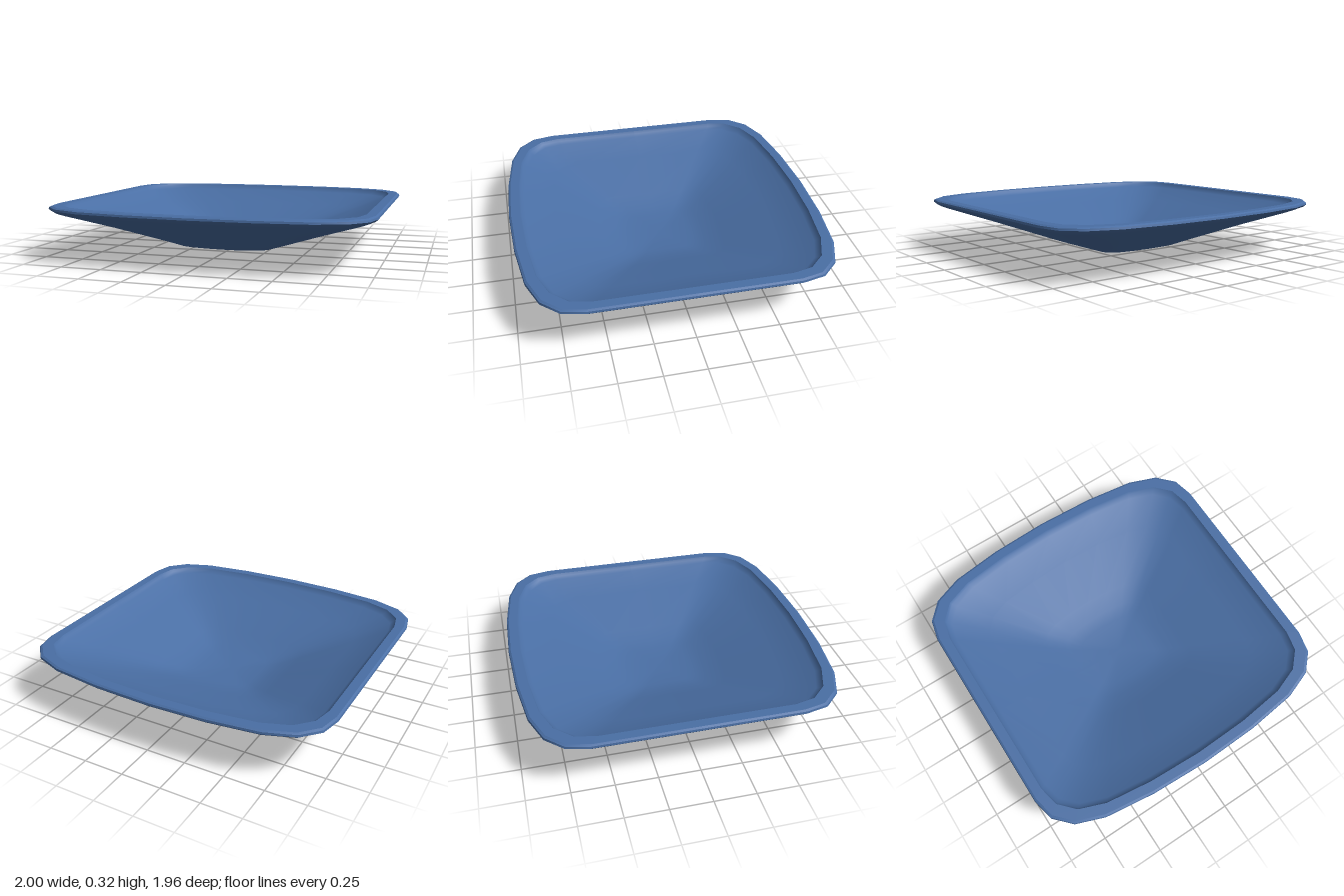
import * as THREE from 'three';
import { toCreasedNormals } from 'three/addons/utils/BufferGeometryUtils.js';

// One quarter of the softened square outline, from +x round to +z
const QUARTER = [[1, 0], [1, 0.62], [0.97, 0.755], [0.87, 0.86], [0.69, 0.927], [0.37, 0.967], [0, 0.981]];

function outline() {
  const q = QUARTER, back = q.slice(1, -1).reverse();
  return [
    ...q,
    ...back.map(([x, z]) => [-x, z]),
    ...q.slice(0, -1).map(([x, z]) => [-x, -z]),
    [0, -0.981],
    ...back.map(([x, z]) => [x, -z]),
  ];
}

// Skin through scaled outlines; each ring is [scale, height, shift in x]
function ringSkin(rings) {
  const loop = outline(), n = loop.length, pos = [], index = [];
  for (const [s, y, dx = 0] of rings) {
    for (const [x, z] of loop) pos.push(x * s + dx, y, z * s);
  }
  for (let r = 0; r < rings.length - 1; r++) {
    for (let i = 0; i < n; i++) {
      const a = r * n + i, b = r * n + (i + 1) % n;
      if (rings[r][0] > 0) index.push(a, a + n, b);
      if (rings[r + 1][0] > 0) index.push(b, a + n, b + n);
      else if (rings[r][0] === 0) continue;
    }
  }
  const g = new THREE.BufferGeometry();
  g.setAttribute('position', new THREE.Float32BufferAttribute(pos, 3));
  g.setIndex(index);
  return toCreasedNormals(g, 0.75);
}

export function createModel() {
  const group = new THREE.Group();
  group.name = 'squareDish';
  const blue = new THREE.MeshStandardMaterial({ color: 0x4a6fa5 });
  blue.name = 'slate blue glaze';

  const add = (name, rings) => {
    const mesh = new THREE.Mesh(ringSkin(rings), blue);
    mesh.name = name;
    group.add(mesh);
  };

  // Underside: flat foot, soft bend, sloping wall and rounded lip
  add('outerShell', [
    [0, 0, -0.02], [0.22, 0.003, -0.02], [0.3, 0.02, -0.02], [0.4, 0.06, -0.01],
    [0.7, 0.177], [0.95, 0.268], [0.985, 0.283], [1, 0.298], [0.997, 0.31], [0.985, 0.317],
  ]);
  // Flat top rim
  add('rim', [[0.985, 0.317], [0.928, 0.317]]);
  // Inside: short step below the rim, sloping wall and flat floor
  add('innerBowl', [
    [0.928, 0.317], [0.918, 0.3], [0.895, 0.284], [0.7, 0.212],
    [0.4, 0.098], [0.29, 0.058], [0.2, 0.04], [0, 0.038],
  ]);
  return group;
}
